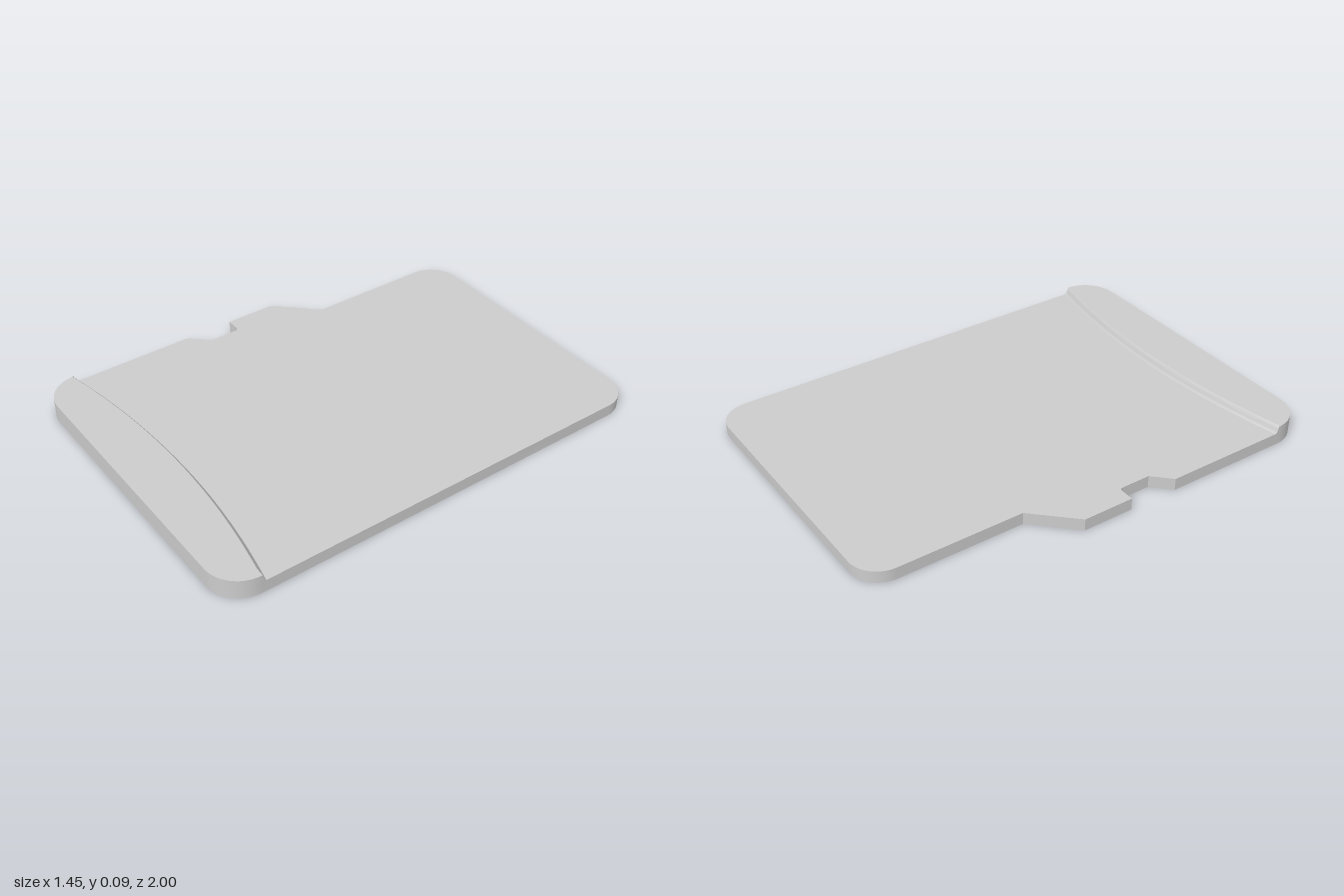
import * as THREE from 'three';
import { toCreasedNormals } from 'three/addons/utils/BufferGeometryUtils.js';

const W = 0.725, BODY = 0.053, TOP = 0.085;
const arcZ = x => 0.755 + 0.08 * (x / W) ** 2; // curved rear edge of the grip

// Closed outline from [x, z, cornerRadius] points
function outline(points) {
  const shape = new THREE.Shape();
  const n = points.length;
  points.forEach(([x, z, r = 0], i) => {
    const c = new THREE.Vector2(x, -z);
    const toward = j => {
      const [px, pz] = points[(j + n) % n];
      return new THREE.Vector2(px, -pz).sub(c).normalize();
    };
    const u = toward(i - 1), v = toward(i + 1);
    const a = c.clone().addScaledVector(u, r), b = c.clone().addScaledVector(v, r);
    if (i === 0) shape.moveTo(a.x, a.y);
    else shape.lineTo(a.x, a.y);
    if (r > 0) {
      const h1 = a.clone().addScaledVector(u, -0.552 * r);
      const h2 = b.clone().addScaledVector(v, -0.552 * r);
      shape.bezierCurveTo(h1.x, h1.y, h2.x, h2.y, b.x, b.y);
    }
  });
  shape.closePath();
  return shape;
}

// Flat slab lying on the ground plane
function slab(points, depth, steps = 1) {
  return new THREE.ExtrudeGeometry(outline(points), { depth, steps, curveSegments: 14, bevelEnabled: false })
    .rotateX(-Math.PI / 2);
}

export function createModel() {
  const group = new THREE.Group();
  group.name = 'memoryCard';
  const material = new THREE.MeshStandardMaterial({ color: 0xcccccc });
  const add = (name, geometry) => {
    const mesh = new THREE.Mesh(toCreasedNormals(geometry, 0.6), material);
    mesh.name = name;
    group.add(mesh);
    return mesh;
  };

  // Thin card with stepped shoulder and side notch
  add('cardBody', slab([
    [-0.56, -1, 0.13], [W, -1, 0.13], [W, 1, 0.15], [-W, 1, 0.15],
    [-W, 0.295], [-0.65, 0.22], [-0.65, 0.075, 0.015], [-W, 0.075],
    [-W, -0.15], [-0.56, -0.32],
  ], BODY));

  // Raised finger grip along the front, with a curved rear edge
  const rear = [];
  for (let i = 0; i <= 32; i++) {
    const x = -W + 2 * W * i / 32;
    rear.push([x, arcZ(x)]);
  }
  const grip = slab([...rear, [W, 1, 0.15], [-W, 1, 0.15]], TOP - BODY, 6);

  // Ease the rear edge into a soft S-shaped step
  const p = grip.attributes.position;
  for (let i = 0; i < p.count; i++) {
    if (Math.abs(p.getZ(i) - arcZ(p.getX(i))) < 1e-4) {
      const t = p.getY(i) / (TOP - BODY);
      p.setZ(i, p.getZ(i) + 0.022 * (0.5 - Math.asin(1 - 2 * Math.min(1, Math.max(0, t))) / Math.PI));
    }
  }
  add('fingerGrip', grip).position.y = BODY;

  return group;
}
